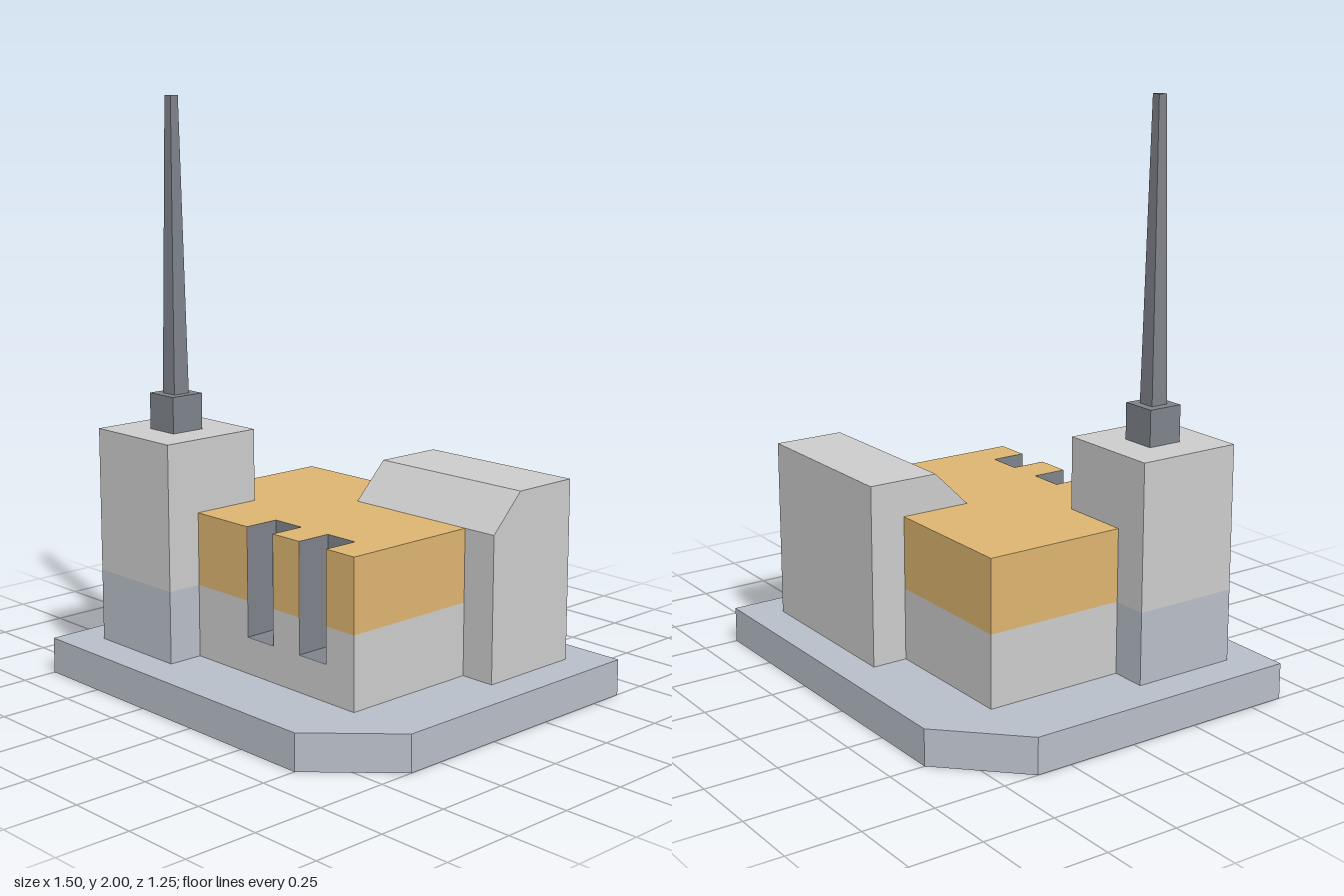
import * as THREE from 'three';

const mat = (color, side = THREE.FrontSide) =>
  new THREE.MeshStandardMaterial({ color, side, flatShading: true });

export function createModel() {
  const model = new THREE.Group();
  model.name = 'building';
  const light = mat(0xcccccc);
  const slate = mat(0xb8bec8);
  const dark = mat(0x7e828a);
  const ochre = mat(0xdcb470);
  const lining = mat(0x7e828a, THREE.DoubleSide);

  const add = (name, geometry, material) => {
    const mesh = new THREE.Mesh(geometry, material);
    mesh.name = name;
    model.add(mesh);
    return mesh;
  };
  // Box given by its minimum and maximum corners
  const box = (name, [x0, y0, z0], [x1, y1, z1], material) =>
    add(name, new THREE.BoxGeometry(x1 - x0, y1 - y0, z1 - z0), material)
      .position.set((x0 + x1) / 2, (y0 + y1) / 2, (z0 + z1) / 2);
  // Plan outline of [x, z] points raised from y0 to y1
  const prism = (name, plan, y0, y1, material) => {
    const shape = new THREE.Shape(plan.map(([x, z]) => new THREE.Vector2(x, -z)));
    const geometry = new THREE.ExtrudeGeometry(shape, { depth: y1 - y0, bevelEnabled: false });
    geometry.rotateX(-Math.PI / 2).translate(0, y0, 0);
    return add(name, geometry, material);
  };

  // Ground slab with two cut corners
  prism('baseSlab', [[-0.75, -0.375], [-0.5, -0.625], [0.75, -0.625],
    [0.75, 0.375], [0.5, 0.625], [-0.75, 0.625]], 0, 0.125, slate);

  // Main hall: solid foot, then a plan notched by two window slots
  const slots = [0.25, 0];
  const hallPlan = [[-0.5, 0.375], [-0.5, -0.375], [0.5, -0.375], [0.5, 0.375]];
  for (const x of slots) {
    hallPlan.push([x + 0.125, 0.375], [x + 0.125, 0.25], [x, 0.25], [x, 0.375]);
  }
  box('hallFoot', [-0.5, 0.125, -0.375], [0.5, 0.25, 0.375], light);
  prism('hallLowerWall', hallPlan, 0.25, 0.375, light);
  prism('hallUpperBlock', hallPlan, 0.375, 0.625, ochre);

  // Dark lining of each slot: back, sides and floor
  const gap = 0.001;
  for (const x of slots) {
    const panel = (name, w, h) => add(name, new THREE.PlaneGeometry(w, h), lining);
    panel('slotBack', 0.125, 0.375).position.set(x + 0.0625, 0.4375, 0.25 + gap);
    for (const sideX of [x + gap, x + 0.125 - gap]) {
      const side = panel('slotSide', 0.125, 0.375);
      side.rotation.y = Math.PI / 2;
      side.position.set(sideX, 0.4375, 0.3125);
    }
    const floor = panel('slotFloor', 0.125, 0.125);
    floor.rotation.x = -Math.PI / 2;
    floor.position.set(x + 0.0625, 0.25 + gap, 0.3125);
  }

  // Corner tower
  box('towerFoot', [-0.625, 0.125, 0.125], [-0.25, 0.375, 0.5], slate);
  box('towerUpper', [-0.625, 0.375, 0.125], [-0.25, 0.875, 0.5], light);

  // Mast on the tower
  box('mastSocket', [-0.5, 0.875, 0.25], [-0.375, 1, 0.375], dark);
  const mast = new THREE.CylinderGeometry(0.0156 * Math.SQRT2, 0.0312 * Math.SQRT2, 1, 4);
  mast.rotateY(Math.PI / 4);
  add('mast', mast, dark).position.set(-0.4375, 1.5, 0.3125);

  // Rear annex with a sloped front roof edge; profile points are [-z, y]
  const profile = [[0.125, 0.125], [0.5, 0.125], [0.5, 0.75], [0.25, 0.75], [0.125, 0.625]];
  const annex = new THREE.ExtrudeGeometry(
    new THREE.Shape(profile.map(([a, y]) => new THREE.Vector2(a, y))),
    { depth: 0.625, bevelEnabled: false });
  add('annex', annex.rotateY(Math.PI / 2), light);

  return model;
}
